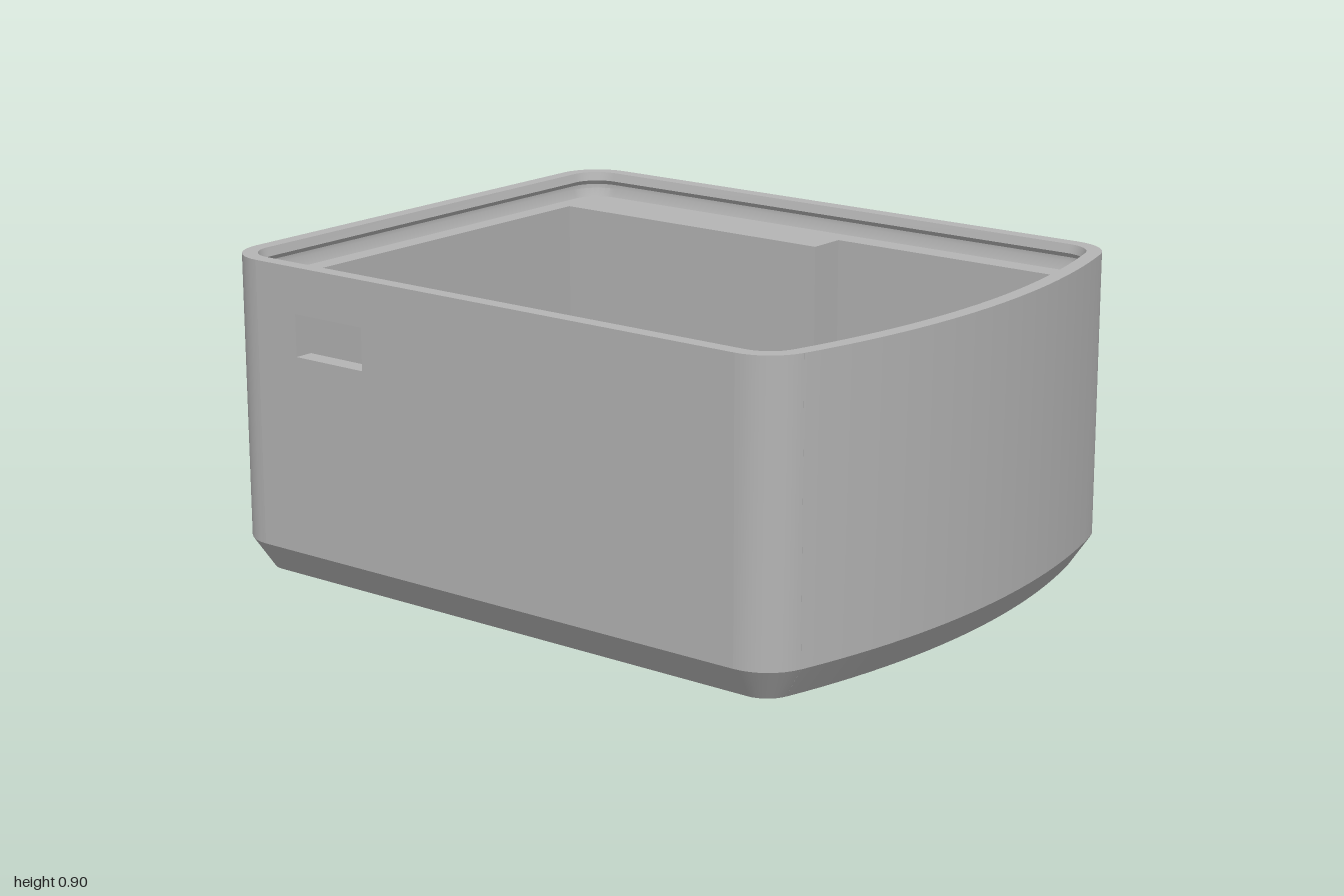
import * as THREE from 'three';
import { toCreasedNormals } from 'three/addons/utils/BufferGeometryUtils.js';

const FLOOR = 0.1, LEDGE = 0.825, TOP = 0.9;
const grey = new THREE.MeshStandardMaterial({ color: 0xb4b4b4, side: THREE.DoubleSide });
grey.name = 'grey plastic';

const V = (x, y, z) => new THREE.Vector3(x, y, z);

// Plan outline of the case, moved inwards by an inset: [x, z] points
function outline(inset) {
  const tf = Math.atan2(2.232, 0.65), P = Math.PI;
  const arcs = [
    [0.65, 0.767, 0.14, 0, tf, 8],
    [0, -1.465, 2.465, tf, P - tf, 24],
    [-0.65, 0.767, 0.14, P - tf, P, 8],
    [-0.66, -0.87, 0.13, P, 1.5 * P, 8],
    [0.66, -0.87, 0.13, 1.5 * P, 2 * P, 8],
  ];
  const pts = [];
  for (const [cx, cz, r, a, b, n] of arcs)
    for (let i = 0; i <= n; i++) {
      const t = a + (b - a) * i / n;
      pts.push([cx + (r - inset) * Math.cos(t), cz + (r - inset) * Math.sin(t)]);
    }
  return pts;
}
const STRAIGHT = [42, 51, 60]; // left, back and right segments of the outline

// Stadium of half length h and radius r along the first axis
function pill(cs, ct, h, r, n = 12) {
  const pts = [];
  for (const [side, a0] of [[1, -Math.PI / 2], [-1, Math.PI / 2]])
    for (let i = 0; i <= n; i++) {
      const a = a0 + Math.PI * i / n;
      pts.push([cs + side * (h - r) + r * Math.cos(a), ct + r * Math.sin(a)]);
    }
  return pts;
}
const swap = pts => pts.map(([a, b]) => [b, a]);
const atY = (pts, y) => pts.map(([x, z]) => V(x, y, z));
const atX = (pts, x) => pts.map(([z, y]) => V(x, y, z));
const atZ = (pts, z) => pts.map(([x, y]) => V(x, y, z));

// Skin through a series of closed rings
function loft(rings, skip = () => false) {
  const pos = [];
  for (let k = 0; k + 1 < rings.length; k++) {
    const A = rings[k], B = rings[k + 1], n = A.length;
    for (let i = 0; i < n; i++) {
      if (skip(k, i)) continue;
      const j = (i + 1) % n;
      for (const p of [A[i], B[i], A[j], A[j], B[i], B[j]]) pos.push(p.x, p.y, p.z);
    }
  }
  const g = new THREE.BufferGeometry();
  g.setAttribute('position', new THREE.Float32BufferAttribute(pos, 3));
  return toCreasedNormals(g, 0.4);
}

function shapeOf(pts, holes = []) {
  const s = new THREE.Shape(pts.map(p => new THREE.Vector2(...p)));
  s.holes = holes.map(h => new THREE.Path(h.map(p => new THREE.Vector2(...p))));
  return new THREE.ShapeGeometry(s);
}

// Horizontal face, looking up or down
function flat(pts, y, up, holes = []) {
  const f = q => q.map(([x, z]) => [x, up ? -z : z]);
  return shapeOf(f(pts), holes.map(f)).rotateX(up ? -Math.PI / 2 : Math.PI / 2).translate(0, y, 0);
}

// Upright wall from p0 to p1; holes are given as [x or z, y]
function panel(p0, p1, y0, y1, holes = []) {
  const dir = V(p1[0] - p0[0], 0, p1[1] - p0[1]), len = dir.length();
  dir.normalize();
  const start = Math.abs(dir.x) > 0.5 ? p0[0] : p0[1];
  const g = shapeOf([[0, y0], [len, y0], [len, y1], [0, y1]],
    holes.map(h => h.map(([s, y]) => [Math.abs(s - start), y])));
  const up = V(0, 1, 0);
  const m = new THREE.Matrix4().makeBasis(dir, up, dir.clone().cross(up));
  return g.applyMatrix4(m.setPosition(p0[0], 0, p0[1]));
}

export function createModel() {
  const model = new THREE.Group();
  model.name = 'enclosureBase';
  const add = (name, geo, parent = model) => {
    const m = new THREE.Mesh(geo, grey);
    m.name = name;
    parent.add(m);
    return m;
  };

  // Openings in the walls
  const sideOuter = pill(0.465, 0.323, 0.225, 0.0625), sideInner = pill(0.465, 0.323, 0.3, 0.125);
  const backOuter = pill(-0.45, 0.325, 0.2, 0.125), backInner = pill(-0.45, 0.335, 0.145, 0.075);
  const windowHole = [[-0.48, 0.65], [-0.48, 0.77], [-0.725, 0.77], [-0.725, 0.65]].reverse();

  // Outer shell: bottom chamfer, wall, rim and the stepped inside of the rim
  const profile = [[0.06, 0], [0, 0.09], [0, TOP], [0.043, TOP], [0.05, 0.875],
    [0.04, 0.862], [0.04, 0.85], [0.05, LEDGE]];
  add('outerShell', loft(profile.map(([i, y]) => atY(outline(i), y)),
    (k, i) => k === 1 && STRAIGHT.includes(i)));
  const o = outline(0);
  add('leftFlatWall', panel(o[43], o[42], 0.09, TOP, [windowHole]).clone());
  add('backFlatWall', panel(o[52], o[51], 0.09, TOP, [backOuter]));
  add('rightFlatWall', panel(o[0], o[60], 0.09, TOP, [sideOuter]));
  model.getObjectByName('leftFlatWall').geometry = panel(o[43], o[42], 0.09, TOP, [windowHole]);

  // Tunnels through the walls
  add('sideSlot', loft([atX(sideOuter, 0.79), atX(sideOuter, 0.77), atX(sideInner, 0.67)]));
  add('backSlot', loft([atZ(backOuter, -1), atZ(backInner, -0.92), atZ(backInner, -0.89)]));
  add('sideWindow', loft([atX(windowHole, -0.735), atX(windowHole, -0.79)]));

  // Stepped pocket
  const pocket = [[-0.735, -0.89], [0.555, -0.89], [0.555, 0.035], [0.67, 0.035], [0.67, 0.795],
    [0.555, 0.795], [0.555, 0.875], [-0.58, 0.873], [-0.635, 0.845], [-0.635, -0.065], [-0.735, -0.065]];
  const pocketHoles = { 0: [backInner], 3: [sideInner], 10: [windowHole] };
  const walls = new THREE.Group();
  walls.name = 'pocketWalls';
  model.add(walls);
  pocket.forEach((p, i) =>
    add('pocketWall' + i, panel(p, pocket[(i + 1) % pocket.length], FLOOR, LEDGE, pocketHoles[i]), walls));
  add('ledge', flat(outline(0.05), LEDGE, true, [pocket]));
  add('pocketFloor', flat(pocket, FLOOR, true));

  // Raised pad on the floor
  const pad = swap(pill(-0.47, -0.475, 0.22, 0.085));
  add('padSide', loft([atY(pad, 0.213), atY(pad, FLOOR)]));
  add('padTop', flat(pad, 0.213, true));

  // Mounting posts with locating pins
  for (const [x, z] of [[-0.565, 0.805], [0.48, 0.805], [0.48, -0.815]]) {
    const post = new THREE.Group();
    post.name = 'mountingPost';
    post.position.set(x, FLOOR, z);
    add('boss', new THREE.CylinderGeometry(0.057, 0.057, 0.14, 28), post).position.y = 0.07;
    add('pin', new THREE.CylinderGeometry(0.028, 0.028, 0.24, 20), post).position.y = 0.26;
    model.add(post);
  }

  // Underside with a long recess and two round sockets
  const recess = swap(pill(0.085, -0.04, 0.635, 0.15));
  const sockets = [-0.4, 0.57].map(z => swap(pill(z, -0.04, 0.0751, 0.075)));
  add('underside', flat(outline(0.06), 0, false, [recess]));
  add('recessWall', loft([atY(recess, 0), atY(recess, 0.025)]));
  add('recessFace', flat(recess, 0.025, false, sockets));
  for (const s of sockets) {
    add('socketWall', loft([atY(s, 0.025), atY(s, 0.055)]));
    add('socketFace', flat(s, 0.055, false));
  }
  return model;
}
